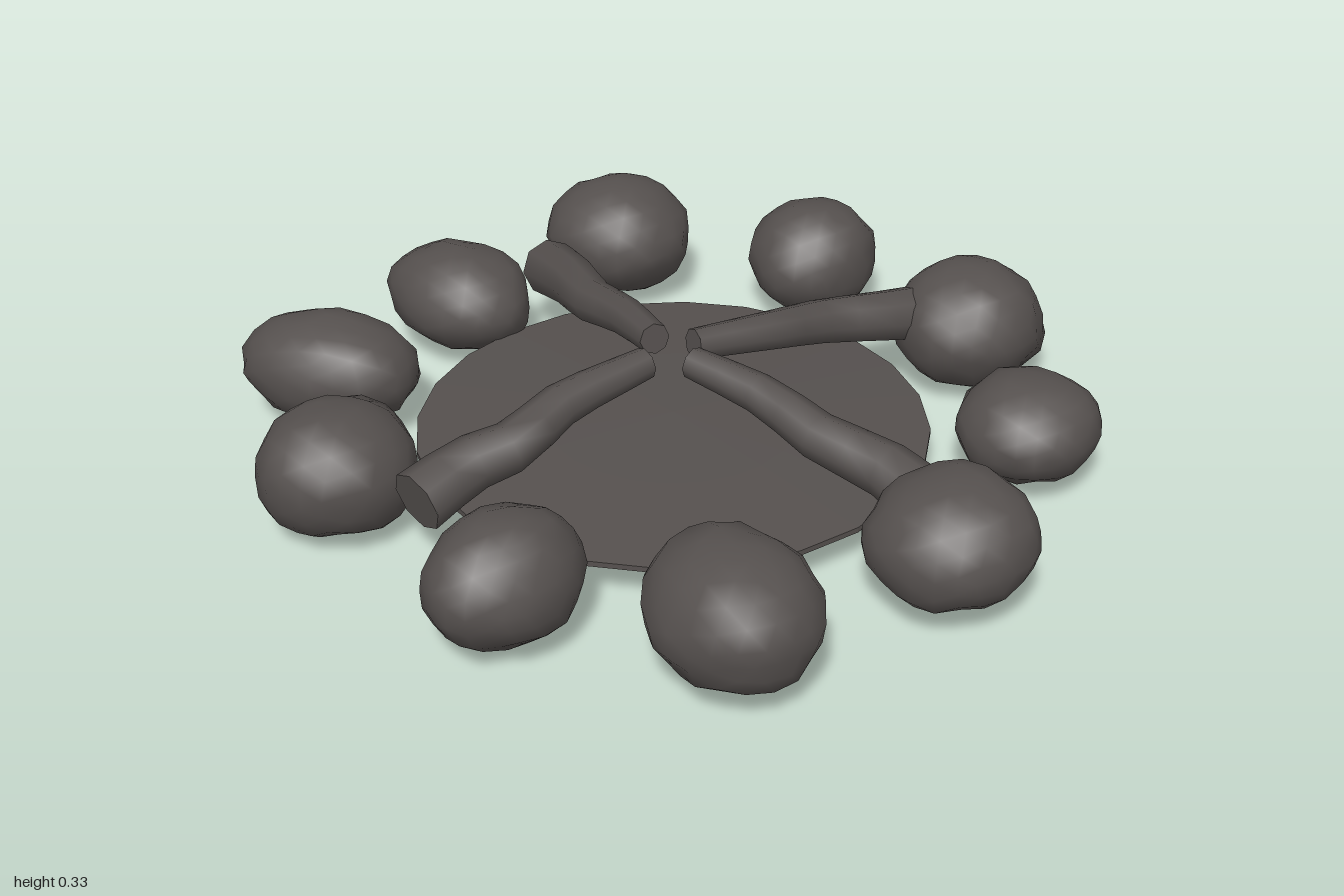
import * as THREE from 'three';
import { mergeVertices } from 'three/addons/utils/BufferGeometryUtils.js';

const charcoal = new THREE.MeshStandardMaterial({ color: 0x55504e });
charcoal.name = 'charcoal';

// Small seeded random generator
function seeded(seed) {
  let s = seed * 7919 + 17;
  return () => (s = (s * 16807) % 2147483647) / 2147483647;
}

// Lumpy rounded stone fitted to the given half sizes
function stone([x, y, z, rx, ry, rz, turn = 0], index) {
  const rand = seeded(index + 1);
  for (let i = 0; i < 5; i++) rand();
  let geo = new THREE.IcosahedronGeometry(1, 3);
  geo.deleteAttribute('normal');
  geo.deleteAttribute('uv');
  geo = mergeVertices(geo, 1e-4);
  const lumps = Array.from({ length: 9 }, () => ({
    dir: new THREE.Vector3(rand() - 0.5, rand() - 0.5, rand() - 0.5).normalize(),
    size: rand() * 0.16 - 0.05,
  }));
  const pos = geo.attributes.position;
  const v = new THREE.Vector3();
  for (let i = 0; i < pos.count; i++) {
    v.fromBufferAttribute(pos, i).normalize();
    let r = 1 + (rand() - 0.5) * 0.07;
    for (const l of lumps) r += l.size * Math.exp((v.dot(l.dir) - 1) * 9);
    v.multiplyScalar(r);
    pos.setXYZ(i, v.x, v.y, v.z);
  }
  geo.center();
  const b = geo.boundingBox.max;
  geo.scale(rx / b.x, ry / b.y, rz / b.z);
  geo.computeVertexNormals();
  const mesh = new THREE.Mesh(geo, charcoal);
  mesh.position.set(x, y, z);
  mesh.rotation.y = turn;
  mesh.name = 'stone' + (index + 1);
  return mesh;
}

// Crooked tapering log: a tube from the thick outer end to the thin inner end
function log(points, index) {
  const group = new THREE.Group();
  group.name = 'log' + (index + 1);
  const rOuter = 0.073, rInner = 0.038, segs = 8;
  const path = points.map(([x, z], i) => {
    const t = i / (points.length - 1);
    return new THREE.Vector3(x, 0.19 + 0.105 * t + (i % 2 ? 0.005 : 0), z);
  });
  const curve = new THREE.CatmullRomCurve3(path);
  const geo = new THREE.TubeGeometry(curve, segs, 1, 8);
  const pos = geo.attributes.position;
  const v = new THREE.Vector3();
  for (let i = 0; i < pos.count; i++) {
    const t = Math.floor(i / 9) / segs;
    const c = curve.getPointAt(t);
    v.fromBufferAttribute(pos, i).sub(c);
    v.multiplyScalar(THREE.MathUtils.lerp(rOuter, rInner, t)).add(c);
    pos.setXYZ(i, v.x, v.y, v.z);
  }
  const bark = new THREE.Mesh(geo, charcoal);
  bark.name = 'bark';
  group.add(bark);
  // Flat cut ends
  for (const [t, r, dir] of [[0, rOuter, -1], [1, rInner, 1]]) {
    const cap = new THREE.Mesh(new THREE.CircleGeometry(r, 8), charcoal);
    cap.position.copy(curve.getPointAt(t));
    cap.lookAt(cap.position.clone().addScaledVector(curve.getTangentAt(t), dir));
    cap.name = dir < 0 ? 'outerEnd' : 'innerEnd';
    group.add(cap);
  }
  return group;
}

export function createModel() {
  const model = new THREE.Group();
  model.name = 'firePit';

  // Low ash bed, slightly raised in the middle
  const ash = new THREE.Mesh(new THREE.LatheGeometry([
    [0, 0.095], [0.605, 0.095], [0.605, 0.108], [0.3, 0.128], [0, 0.138],
  ].map(([r, y]) => new THREE.Vector2(r, y)), 24), charcoal);
  ash.geometry = ash.geometry.toNonIndexed();
  ash.geometry.computeVertexNormals();
  ash.position.set(-0.02, 0, 0.025);
  ash.name = 'ashBed';
  model.add(ash);

  // Logs leaning towards the middle, as x, z from the outer end
  [
    [[-0.71, -0.17], [-0.56, -0.125], [-0.42, -0.07], [-0.27, -0.04], [-0.1, 0.01]],
    [[0.13, -0.75], [0.09, -0.57], [0.035, -0.41], [0.03, -0.26], [-0.02, -0.04]],
    [[0.77, -0.05], [0.59, -0.06], [0.41, -0.025], [0.25, -0.02], [0.04, 0.02]],
    [[-0.045, 0.75], [-0.05, 0.6], [-0.02, 0.49], [-0.04, 0.36], [-0.03, 0.1]],
  ].forEach((p, i) => model.add(log(p, i)));

  // Ring of stones: x, y, z, half sizes, turn
  [
    [-0.345, 0.165, -0.755, 0.16, 0.145, 0.175],
    [0.195, 0.175, -0.775, 0.18, 0.155, 0.19],
    [0.59, 0.15, -0.53, 0.17, 0.12, 0.17],
    [0.815, 0.18, -0.01, 0.185, 0.145, 0.18],
    [0.69, 0.18, 0.505, 0.215, 0.155, 0.185, -0.3],
    [0.285, 0.17, 0.775, 0.15, 0.15, 0.185],
    [-0.32, 0.16, 0.765, 0.185, 0.155, 0.19],
    [-0.7, 0.165, 0.52, 0.215, 0.14, 0.15, 0.6],
    [-0.795, 0.165, 0.06, 0.205, 0.135, 0.16],
    [-0.76, 0.185, -0.445, 0.19, 0.15, 0.185],
  ].forEach((s, i) => model.add(stone(s, i)));

  return model;
}
